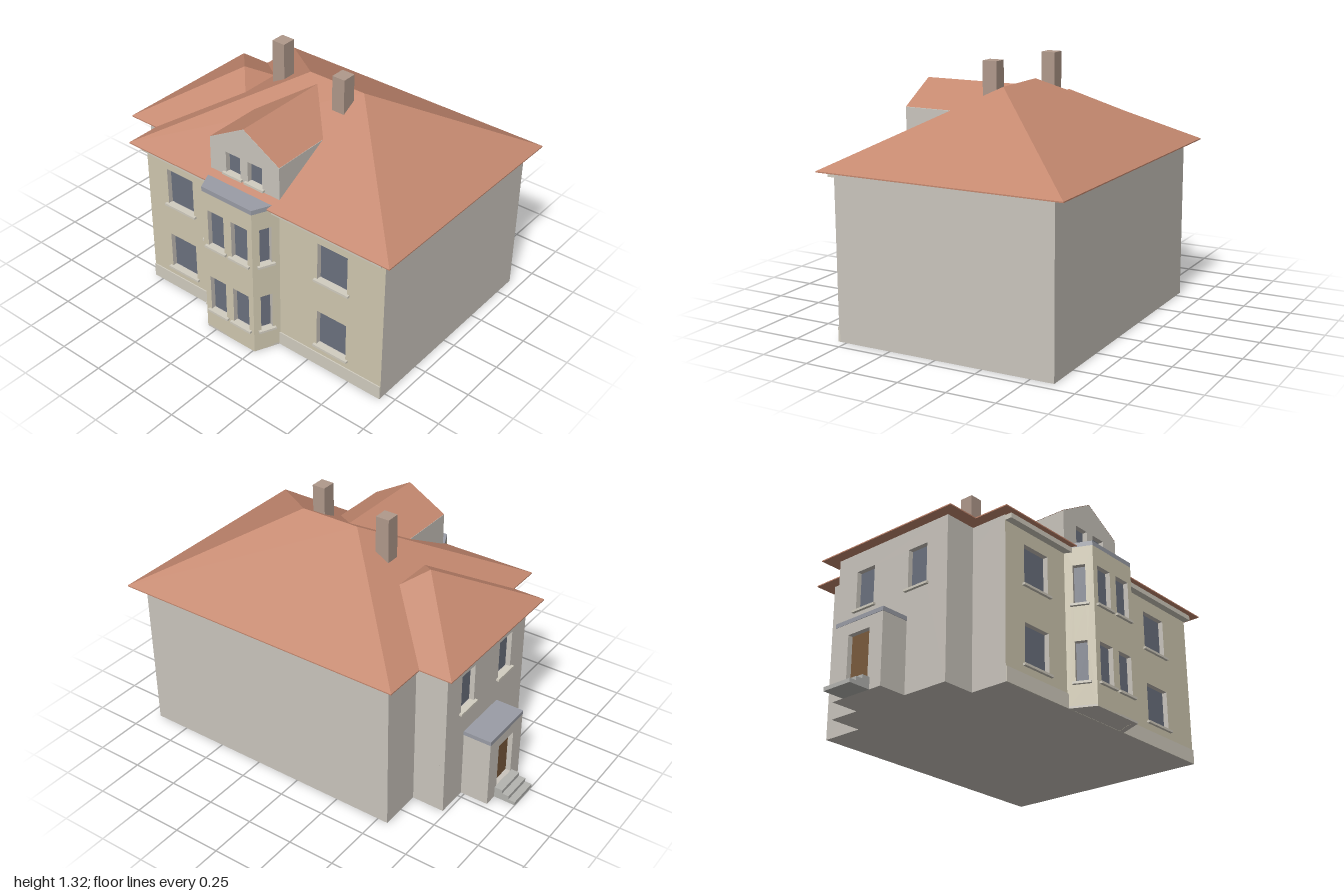
import * as THREE from 'three';

const mat = (color) => new THREE.MeshStandardMaterial({ color, flatShading: true });
const M = {
  cream: mat(0xd0c8b0), wall: mat(0xcac5bd), trim: mat(0xd2cdc0), glass: mat(0x6b717e),
  roof: mat(0xc4886f), slate: mat(0x9a9da6), brick: mat(0xb0998b), door: mat(0x7a5a3c), step: mat(0xb4b4b0),
};
const RECESS = 0.03;

function add(parent, name, geometry, material) {
  const mesh = new THREE.Mesh(geometry, material);
  mesh.name = name;
  parent.add(mesh);
  return mesh;
}

// Box given by its limits on each axis
function box(parent, name, x0, x1, y0, y1, z0, z1, material) {
  const mesh = add(parent, name, new THREE.BoxGeometry(x1 - x0, y1 - y0, z1 - z0), material);
  mesh.position.set((x0 + x1) / 2, (y0 + y1) / 2, (z0 + z1) / 2);
  return mesh;
}

function outline(points) {
  return new THREE.Shape(points.map(([x, y]) => new THREE.Vector2(x, y)));
}

function faces(corners, index) {
  const g = new THREE.BufferGeometry();
  g.setAttribute('position', new THREE.Float32BufferAttribute(corners.flat(), 3));
  g.setIndex(index);
  const flat = g.toNonIndexed();
  flat.computeVertexNormals();
  return flat;
}

// Wall running from a to b (x, z), left to right from outside; openings are
// [start, end, bottom, top] along the wall, recessed and filled
function wall(parent, name, a, b, height, openings, face, { fill = M.glass, sill = true, base = 0 } = {}) {
  const g = new THREE.Group();
  g.name = name;
  g.position.set(a[0], base, a[1]);
  g.rotation.y = -Math.atan2(b[1] - a[1], b[0] - a[0]);
  const w = Math.hypot(b[0] - a[0], b[1] - a[1]);
  const shape = Array.isArray(height) ? outline(height) : outline([[0, 0], [w, 0], [w, height], [0, height]]);
  for (const [s, e, lo, hi] of openings) {
    shape.holes.push(outline([[s, lo], [s, hi], [e, hi], [e, lo]]));
    box(g, sill ? 'windowPane' : 'doorLeaf', s, e, lo, hi, -RECESS - 0.004, -RECESS + 0.003, fill);
    if (sill) box(g, 'windowSill', s - 0.015, e + 0.015, lo - 0.01, lo + 0.002, -0.02, 0.015, M.trim);
  }
  const geo = new THREE.ExtrudeGeometry(shape, { depth: RECESS, bevelEnabled: false }).translate(0, 0, -RECESS);
  add(g, name + 'Panel', geo, [face, M.wall]);
  parent.add(g);
  return g;
}

// Hipped roof with a thin eave board
function hipRoof(parent, name, [x0, x1, z0, z1], y0, [r0, r1, rz], y1) {
  const geo = faces(
    [[x0, y0, z1], [x1, y0, z1], [x1, y0, z0], [x0, y0, z0], [r0, y1, rz], [r1, y1, rz]],
    [0, 1, 5, 0, 5, 4, 1, 2, 5, 2, 3, 4, 2, 4, 5, 3, 0, 4, 0, 3, 2, 0, 2, 1]);
  add(parent, name, geo, M.roof);
  box(parent, name + 'Eave', x0, x1, y0 - 0.006, y0, z0, z1, M.roof);
}

// Horizontal slab from an (x, z) outline
function slab(parent, name, points, y0, y1, material) {
  const geo = new THREE.ExtrudeGeometry(outline(points.map(([x, z]) => [x, -z])), { depth: y1 - y0, bevelEnabled: false });
  geo.rotateX(-Math.PI / 2).translate(0, y0, 0);
  add(parent, name, geo, material);
}

export function createModel() {
  const house = new THREE.Group();
  house.name = 'house';
  const floors = [[0.125, 0.335], [0.527, 0.737]];
  const H = 0.84;

  // Main block and front wall
  box(house, 'mainBody', -0.555, 0.94, 0, H, -0.62, 0.54 - RECESS, M.wall);
  const front = floors.flatMap(([lo, hi]) => [[-0.42, -0.245], [0.55, 0.727]].map(([s, e]) => [s + 0.555, e + 0.555, lo, hi]));
  wall(house, 'frontWall', [-0.555, 0.54], [0.94, 0.54], H, front, M.cream);
  box(house, 'plinth', -0.555, 0.94, 0, 0.075, 0.535, 0.546, M.trim);
  box(house, 'cornice', -0.555, 0.94, 0.81, 0.836, 0.535, 0.578, M.trim);

  // Left wing
  box(house, 'wingBody', -0.73 + RECESS, -0.5, 0, H, -0.39, 0.34, M.wall);
  wall(house, 'wingWall', [-0.73, -0.39], [-0.73, 0.34], H,
    [0.19, 0.54].map((c) => [c - 0.06, c + 0.06, ...floors[1]]), M.wall);

  // Bay window
  const bay = new THREE.Group();
  bay.name = 'bayWindow';
  const plan = [[-0.115, 0.54], [-0.055, 0.67], [0.26, 0.67], [0.32, 0.54]];
  const bayOpenings = [[[0.042, 0.104]], [[0.033, 0.135], [0.183, 0.285]], [[0.039, 0.101]]];
  bayOpenings.forEach((spans, i) => wall(bay, 'bayWall', plan[i], plan[i + 1], 0.836,
    floors.flatMap((f) => spans.map((s) => [...s, ...f])), M.cream));
  slab(bay, 'bayRoof', plan, 0.835, 0.86, M.slate);
  slab(bay, 'bayFloor', plan, 0.001, 0.01, M.wall);
  house.add(bay);

  // Roofs
  hipRoof(house, 'mainRoof', [-0.615, 1, -0.69, 0.6], 0.846, [0.03, 0.36, -0.045], 1.203);
  hipRoof(house, 'wingRoof', [-0.79, 0.01, -0.46, 0.41], 0.846, [-0.39, -0.39, -0.025], 1.092);

  // Dormer: gabled front, side walls and two roof slopes running into the main roof
  const dormer = new THREE.Group();
  dormer.name = 'dormer';
  const [l, r, mid, lo, eave, top, zf, zb] = [-0.11, 0.322, 0.106, 0.865, 1.055, 1.178, 0.54, -0.003];
  wall(dormer, 'dormerFront', [l, zf], [r, zf],
    [[0, 0], [r - l, 0], [r - l, eave - lo], [mid - l, top - lo], [0, eave - lo]],
    [[0.1, 0.19], [0.237, 0.327]].map((s) => [...s, 0.895 - lo, 1.01 - lo]), M.wall, { base: lo });
  box(dormer, 'dormerBody', l, r, lo, eave, 0.2, zf - RECESS, M.wall);
  add(dormer, 'dormerRoof', faces(
    [[l, eave, zf], [mid, top, zf], [r, eave, zf], [l, eave, zb], [mid, top, zb], [r, eave, zb]]
      .map(([x, y, z]) => [x, y + 0.002, z]),
    [0, 1, 4, 0, 4, 3, 1, 2, 5, 1, 5, 4]), new THREE.MeshStandardMaterial({ color: 0xc4886f, flatShading: true, side: THREE.DoubleSide }));
  house.add(dormer);

  // Chimneys
  box(house, 'chimney', -0.183, -0.108, 1, 1.32, -0.083, -0.007, M.brick);
  box(house, 'chimney', 0.265, 0.337, 1, 1.32, 0.005, 0.082, M.brick);

  // Entrance porch with door, flat roof and steps
  const porch = new THREE.Group();
  porch.name = 'porch';
  box(porch, 'porchBody', -0.882 + RECESS, -0.7, 0, 0.37, -0.22, 0.09, M.wall);
  wall(porch, 'porchFront', [-0.882, -0.22], [-0.882, 0.09], 0.37, [[0.085, 0.225, 0.06, 0.31]], M.wall, { fill: M.door, sill: false });
  box(porch, 'porchRoof', -0.884, -0.7, 0.368, 0.39, -0.222, 0.092, M.slate);
  for (let i = 0; i < 3; i++) {
    box(porch, 'step', -1 + i * 0.037, -0.88, i * 0.02, (i + 1) * 0.02, -0.15, 0.02, M.step);
  }
  house.add(porch);
  return house;
}
